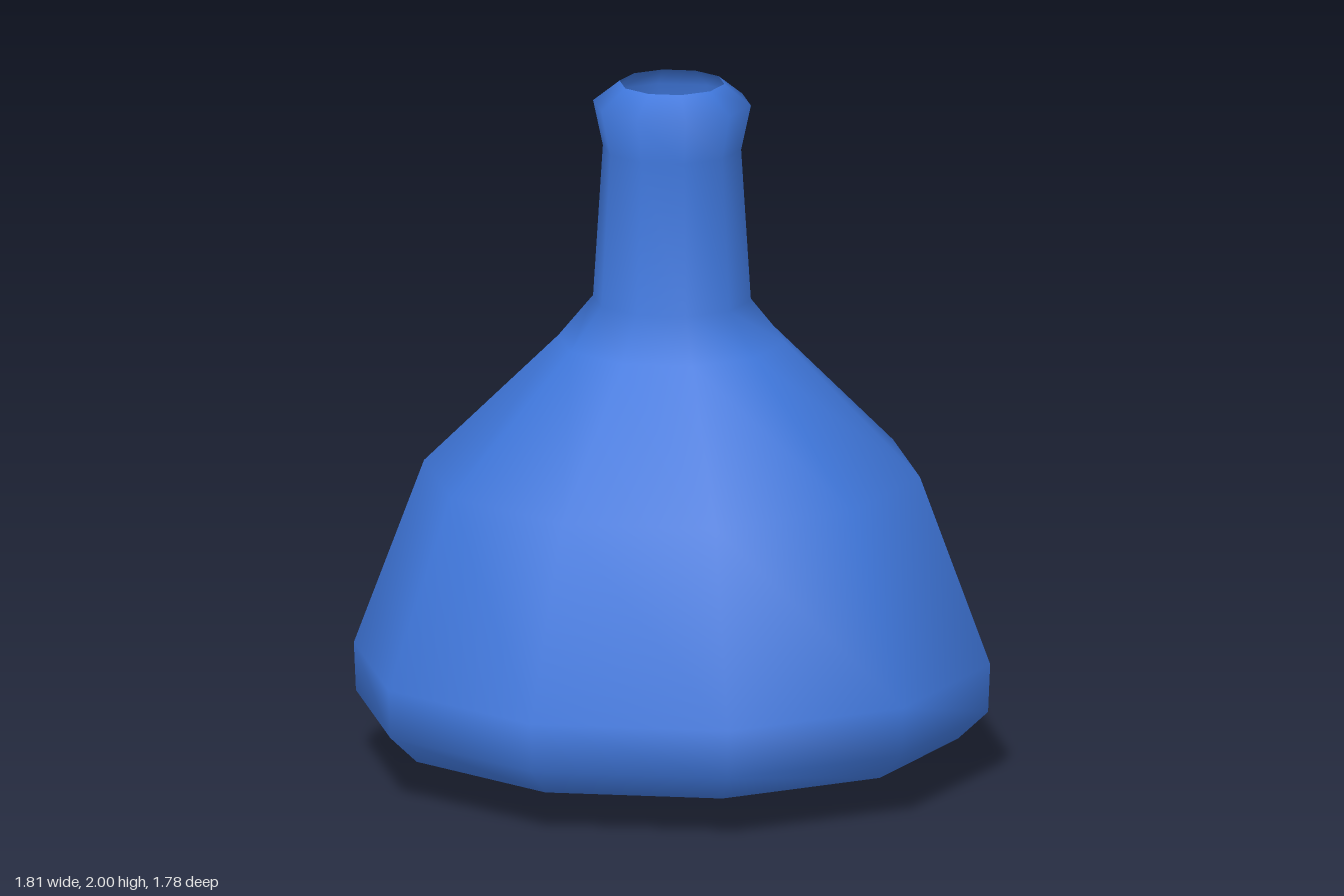
import * as THREE from 'three';

const SIDES = 10;
const TURN = THREE.MathUtils.degToRad(24.2); // angle of the first corner

export function createModel() {
  const flask = new THREE.Group();
  flask.name = 'flask';
  const glass = new THREE.MeshStandardMaterial({ color: 0x4078dd, side: THREE.DoubleSide });

  // Revolve a [radius, height] profile, listed from bottom to top
  function addLathe(name, profile) {
    const points = profile.map(([r, y]) => new THREE.Vector2(r, y));
    const mesh = new THREE.Mesh(new THREE.LatheGeometry(points, SIDES, TURN), glass);
    mesh.name = name;
    flask.add(mesh);
  }

  // Shallow cone underneath, with a hard edge against the body
  addLathe('base', [[0, 0], [0.82, 0.11]]);

  // Open, thin-walled shell: rounded foot, sloping body, shoulder, neck and lip
  addLathe('body', [
    [0.82, 0.11],
    [0.905, 0.19],
    [0.911, 0.33],
    [0.71, 0.87],
    [0.325, 1.25],
    [0.226, 1.37],
    [0.198, 1.81],
    [0.226, 1.94],
    [0.15, 2.0],
  ]);

  return flask;
}
